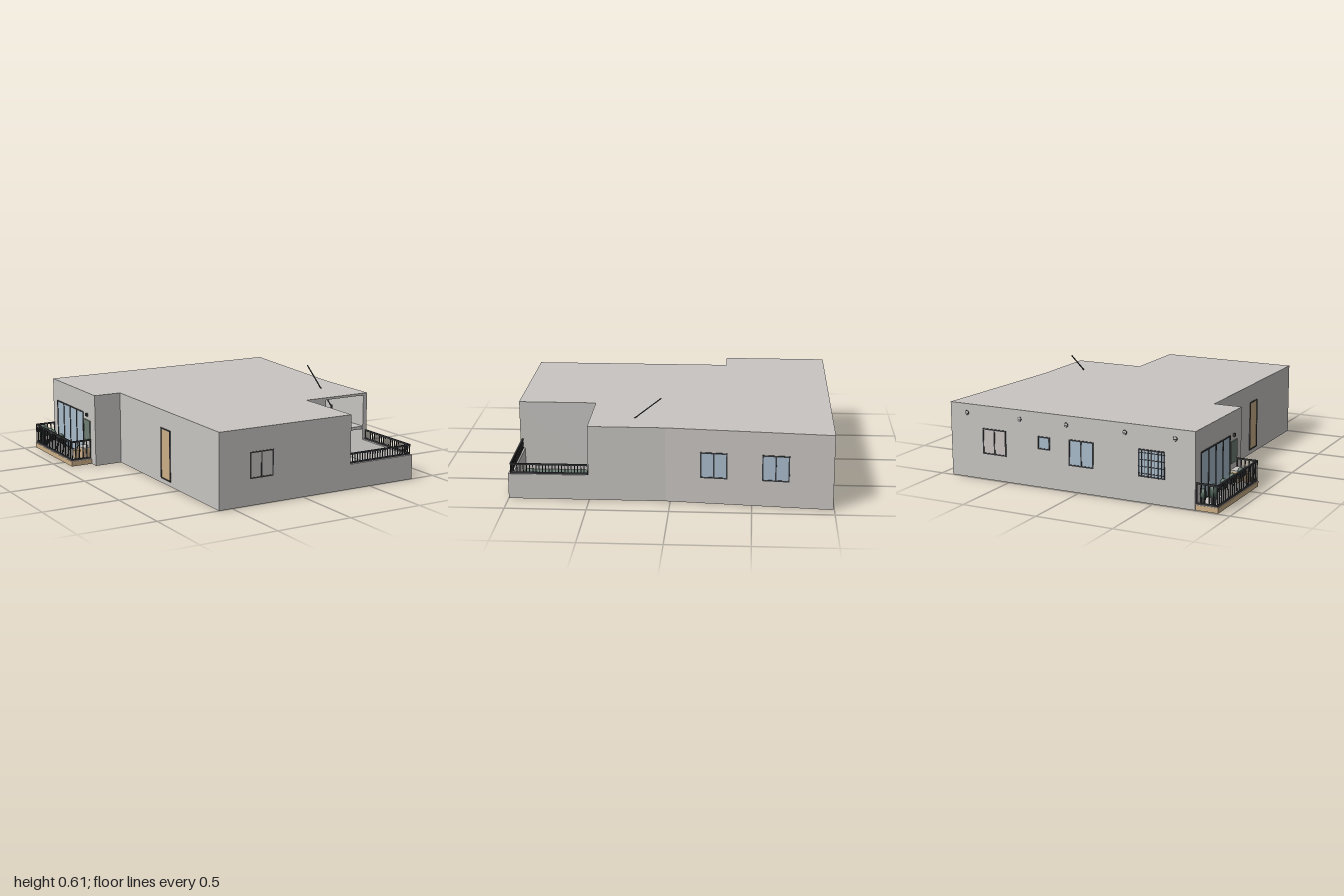
import * as THREE from 'three';

const mat = (name, color, side = THREE.FrontSide) => {
  const m = new THREE.MeshStandardMaterial({ color, side });
  m.name = name;
  return m;
};

export function createModel() {
  const wall = mat('wall grey', 0xc8c5c2);
  const dark = mat('dark metal', 0x3c3d40);
  const glass = mat('blue glass', 0xa9bccb);
  const curtain = mat('pale curtain', 0xc9c2bf);
  const tan = mat('tan wood', 0xcdb088);
  const green = mat('green floor', 0x6d7e74);
  const leaf = mat('leaf green', 0x4d6358);

  const model = new THREE.Group();
  model.name = 'house';

  const add = (parent, name, geo, m, x = 0, y = 0, z = 0) => {
    const mesh = new THREE.Mesh(geo, m);
    mesh.name = name;
    mesh.position.set(x, y, z);
    parent.add(mesh);
    return mesh;
  };
  // Box given by its extents
  const block = (parent, name, m, x0, x1, y0, y1, z0, z1) =>
    add(parent, name, new THREE.BoxGeometry(x1 - x0, y1 - y0, z1 - z0), m,
      (x0 + x1) / 2, (y0 + y1) / 2, (z0 + z1) / 2);
  // Plan outline of [x, z] points raised from y0 to y1
  const storey = (name, pts, y0, y1) => {
    const shape = new THREE.Shape(pts.map(([x, z]) => new THREE.Vector2(x, -z)));
    const geo = new THREE.ExtrudeGeometry(shape, { depth: y1 - y0, bevelEnabled: false });
    geo.rotateX(-Math.PI / 2);
    add(model, name, geo, wall, 0, y0, 0);
  };
  // Bar between two points
  const bar = (parent, name, a, b, r) => {
    const p = new THREE.Vector3(...a), q = new THREE.Vector3(...b);
    const mesh = add(parent, name, new THREE.BoxGeometry(r, r, p.distanceTo(q)), dark);
    mesh.position.copy(p).add(q).multiplyScalar(0.5);
    mesh.lookAt(q);
  };

  // Body: base, walls with stairwell and corner terrace cut out, roof
  const back = -0.993, H = 0.475;
  const rear = [[0.83, 0.03], [0.92, back], [-0.775, back], [-0.775, -0.31], [-0.59, -0.31], [-0.59, 1]];
  storey('base', [[0.83, 1], ...rear], 0, 0.012);
  storey('walls', [[0.35, 1], [0.35, 0.505], [0.5, 0.505], [0.5, 0.05], [0.8, 0.05],
    [0.8, 0.505], [0.83, 0.505], ...rear], 0.012, 0.46);
  storey('roof', [[0.35, 1], [0.35, 0.505], [0.83, 0.505], ...rear], 0.46, H);

  // Corner terrace
  block(model, 'terraceFloor', green, 0.35, 0.8, 0.012, 0.018, 0.505, 0.97);
  block(model, 'frontParapet', wall, 0.35, 0.83, 0.012, 0.16, 0.97, 1);
  block(model, 'sideParapet', wall, 0.8, 0.83, 0.012, 0.16, 0.505, 0.97);

  // Stairwell: landing, steps, handrail through the roof
  block(model, 'landing', wall, 0.5, 0.8, 0.23, 0.25, 0.05, 0.5);
  for (let i = 0; i < 6; i++)
    block(model, 'step', wall, 0.5, 0.645, 0.25, 0.25 + 0.035 * (i + 1), 0.34 - 0.047 * i - 0.047, 0.34 - 0.047 * i);
  bar(model, 'handrail', [0.647, 0.38, 0.35], [0.647, 0.605, 0.065], 0.006);
  bar(model, 'handrailPost', [0.652, 0.25, 0.35], [0.652, 0.385, 0.35], 0.01);
  block(model, 'lowerDoor', tan, 0.51, 0.61, 0.012, 0.22, 0.05, 0.058);

  // Railings with balusters
  const railing = (name, [x0, z0], [x1, z1], y0, y1, n, r = 0.005) => {
    const g = new THREE.Group();
    g.name = name;
    model.add(g);
    for (const y of [y0 + 0.006, y1 - 0.005]) bar(g, 'rail', [x0, y, z0], [x1, y, z1], 0.01);
    for (let i = 0; i <= n; i++) {
      const x = x0 + (x1 - x0) * i / n, z = z0 + (z1 - z0) * i / n;
      add(g, 'baluster', new THREE.BoxGeometry(r, y1 - y0, r), dark, x, (y0 + y1) / 2, z);
    }
  };
  railing('terraceFrontRailing', [0.355, 0.985], [0.82, 0.985], 0.16, 0.227, 24);
  railing('terraceSideRailing', [0.82, 0.985], [0.82, 0.51], 0.16, 0.227, 24);

  // Windows: framed panes facing local +z
  const panel = (name, x, y0, y1, z, turn, w, panes, paneMat, bars = 0) => {
    const g = new THREE.Group(), h = y1 - y0, t = 0.008, d = 0.007;
    g.name = name;
    g.position.set(x, (y0 + y1) / 2, z);
    g.rotation.y = turn;
    model.add(g);
    block(g, 'pane', paneMat, -w / 2, w / 2, -h / 2, h / 2, -0.001, 0.002);
    for (const s of [-1, 1])
      add(g, 'frameRail', new THREE.BoxGeometry(w, t, d), dark, 0, s * (h - t) / 2, 0.002);
    for (let i = 0; i <= panes; i++)
      add(g, 'frameStile', new THREE.BoxGeometry(t, h, d), dark, (w - t) * (i / panes - 0.5), 0, 0.002);
    for (let i = 1; i <= bars; i++) {
      add(g, 'bar', new THREE.BoxGeometry(0.004, h, 0.004), dark, w * (i / (bars + 1) - 0.5), 0, 0.005);
      if (i % 2) add(g, 'crossBar', new THREE.BoxGeometry(w, 0.004, 0.004), dark, 0, h * (i / (bars + 1) - 0.5), 0.005);
    }
  };
  panel('frontWindow', -0.297, 0.165, 0.33, 1 - 0.003, 0, 0.165, 2, glass);
  const slant = Math.atan2(0.09, 0.03 - back);
  for (const z of [-0.267, -0.643])
    panel('sideWindow', 0.83 + 0.09 * (0.03 - z) / (0.03 - back), 0.165, 0.33, z, Math.PI / 2 - slant, 0.167, 2, glass);
  panel('curtainedWindow', 0.6, 0.165, 0.33, back, Math.PI, 0.17, 2, curtain);
  panel('smallWindow', 0.243, 0.243, 0.325, back, Math.PI, 0.085, 1, glass);
  panel('rearWindow', -0.018, 0.165, 0.33, back, Math.PI, 0.17, 2, glass);
  panel('barredWindow', -0.493, 0.16, 0.33, back, Math.PI, 0.175, 2, glass, 7);
  panel('slidingDoor', -0.775, 0.035, 0.335, -0.705, -Math.PI / 2, 0.43, 4, glass);
  panel('entranceDoor', -0.59, 0.03, 0.36, 0.335, -Math.PI / 2, 0.125, 1, tan);

  // Round wall vents
  const vent = (x, z) => {
    const v = add(model, 'vent', new THREE.CylinderGeometry(0.013, 0.013, 0.006, 16), wall, x, 0.417, z);
    v.rotation.x = Math.PI / 2;
    const s = Math.sign(z);
    add(model, 'ventRim', new THREE.TorusGeometry(0.0125, 0.0025, 6, 16), dark, x, 0.417, z + s * 0.001);
    block(model, 'ventSlot', dark, x - 0.009, x + 0.009, 0.41, 0.416, z - 0.0035, z + 0.0035);
  };
  for (const x of [-0.475, -0.09, 0.1]) vent(x, 0.996);
  for (const x of [0.8, 0.415, 0.085, -0.315, -0.645]) vent(x, back);

  // Balcony slab and railing
  block(model, 'balconySlab', tan, -0.92, -0.775, 0, 0.033, -0.99, -0.375);
  block(model, 'balconyFloor', wall, -0.918, -0.775, 0.033, 0.036, -0.988, -0.377);
  railing('balconySideRailing', [-0.913, -0.983], [-0.913, -0.382], 0.036, 0.168, 22, 0.006);
  railing('balconyFrontRailing', [-0.913, -0.382], [-0.78, -0.382], 0.036, 0.168, 5, 0.006);
  railing('balconyBackRailing', [-0.913, -0.983], [-0.78, -0.983], 0.036, 0.168, 5, 0.006);

  // Potted plants and planters hung on the rail
  const plant = (x, z, r, h, y) => {
    add(model, 'pot', new THREE.CylinderGeometry(r * 0.7, r * 0.5, h, 14), dark, x, y + h / 2, z);
    add(model, 'foliage', new THREE.SphereGeometry(r, 14, 10), leaf, x, y + h + r, z).scale.y = 1.5;
  };
  plant(-0.875, -0.955, 0.03, 0.055, 0.036);
  plant(-0.815, -0.965, 0.022, 0.04, 0.036);
  for (const z of [-0.86, -0.73, -0.6]) {
    block(model, 'planter', dark, -0.908, -0.888, 0.115, 0.145, z - 0.04, z + 0.04);
    add(model, 'planterFoliage', new THREE.SphereGeometry(0.021, 12, 8), leaf, -0.896, 0.155, z);
  }

  // Balcony stool, sink cabinet, green splash panel and lamp
  add(model, 'stool', new THREE.CylinderGeometry(0.025, 0.02, 0.06, 18), tan, -0.86, 0.066, -0.427);
  block(model, 'cabinet', tan, -0.83, -0.777, 0.036, 0.105, -0.478, -0.385);
  block(model, 'cabinetTop', wall, -0.832, -0.776, 0.105, 0.112, -0.48, -0.383);
  block(model, 'splashPanel', green, -0.781, -0.774, 0.15, 0.29, -0.478, -0.385);
  block(model, 'wallLamp', dark, -0.786, -0.774, 0.315, 0.335, -0.44, -0.42);

  return model;
}
